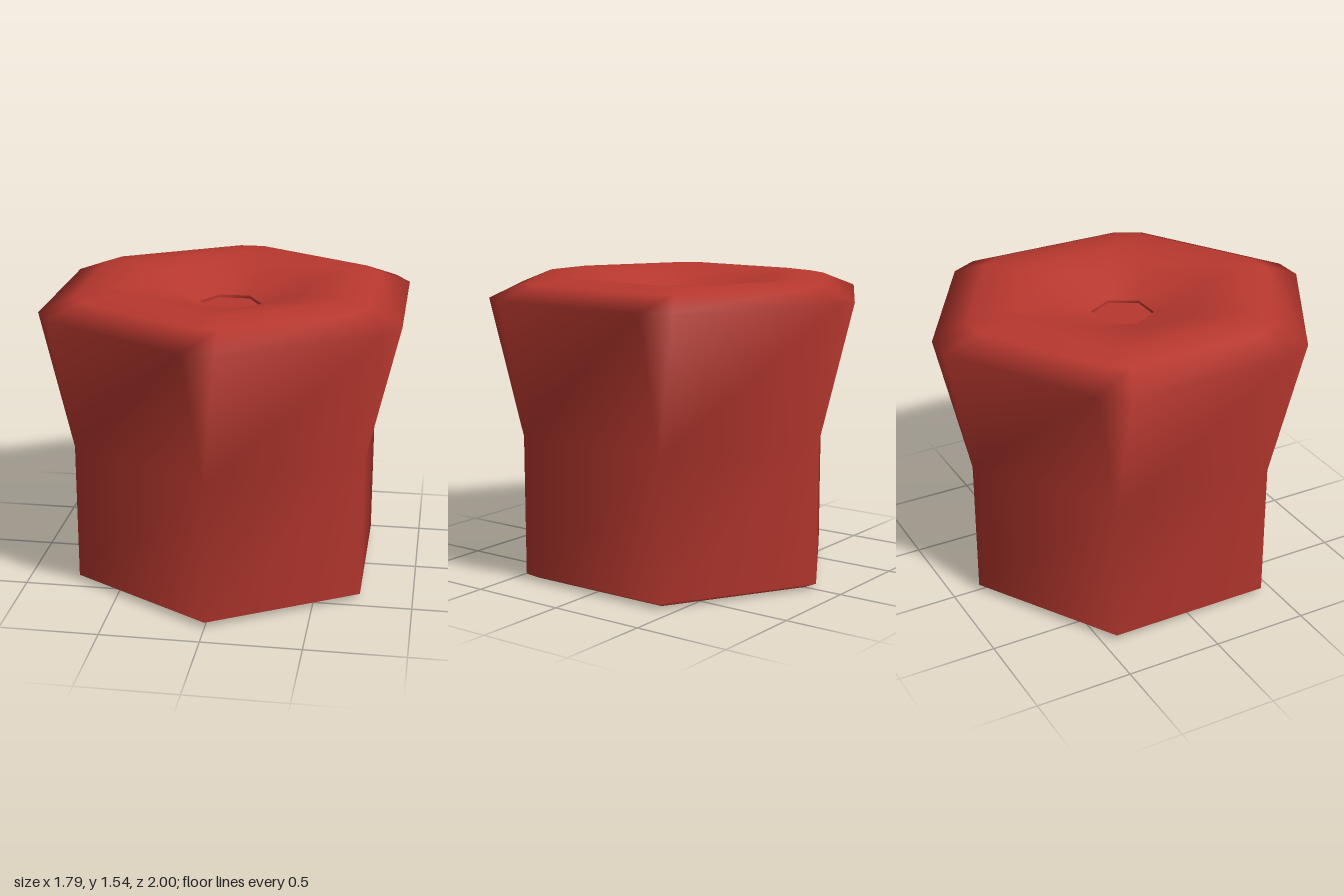
import * as THREE from 'three';
import { mergeVertices } from 'three/addons/utils/BufferGeometryUtils.js';

const WIDTH = 0.986; // the hexagon is slightly narrower across x

// Hexagonal ring with corners on the z axis, each corner split by +-d degrees.
function ring(y, r, d) {
  const pts = [];
  for (let k = 0; k < 6; k++) {
    for (const s of [-1, 1]) {
      const a = THREE.MathUtils.degToRad(30 + 60 * k + s * d);
      pts.push(WIDTH * r * Math.cos(a), y, r * Math.sin(a));
    }
  }
  return pts;
}

// Skin a stack of [y, radius, cornerSplit] rings into one smooth surface.
function skin(rings) {
  const n = 12, index = [];
  const positions = rings.flatMap(([y, r, d]) => ring(y, r, d));
  for (let j = 0; j < rings.length - 1; j++) {
    for (let i = 0; i < n; i++) {
      const a = j * n + i, b = j * n + (i + 1) % n;
      index.push(a, a + n, b, b, a + n, b + n);
    }
  }
  let g = new THREE.BufferGeometry();
  g.setAttribute('position', new THREE.Float32BufferAttribute(positions, 3));
  g.setIndex(index);
  g = mergeVertices(g, 1e-4);
  g.computeVertexNormals();
  return g;
}

export function createModel() {
  const group = new THREE.Group();
  const red = new THREE.MeshStandardMaterial({ color: 0xb8382f });
  red.name = 'red';

  const add = (name, rings) => {
    const mesh = new THREE.Mesh(skin(rings), red);
    mesh.name = name;
    group.add(mesh);
  };

  // Straight hexagonal base, flared chamfered top and dished crown
  add('outerShell', [
    [0, 0.79, 0],
    [0.03, 0.858, 0],
    [0.75, 0.858, 0],
    [1.45, 1.003, 4.6],
    [1.52, 0.82, 4.6],
    [1.54, 0.67, 4.6],
    [1.535, 0.56, 6],
    [1.51, 0.42, 12],
    [1.42, 0.16, 30],
  ]);

  // Shallow well in the middle of the dish
  add('wellWall', [
    [1.42, 0.16, 30],
    [1.405, 0.16, 30],
  ]);
  add('wellFloor', [
    [1.405, 0.16, 30],
    [1.405, 0, 30],
  ]);

  // Hollow underside, following the outer shell at an even thickness
  add('cavityCeiling', [
    [1.36, 0, 30],
    [1.36, 0.16, 30],
    [1.445, 0.42, 12],
    [1.475, 0.65, 4.6],
    [1.41, 0.93, 4.6],
  ]);
  add('cavityWall', [
    [1.41, 0.93, 4.6],
    [0.76, 0.79, 0],
    [0, 0.79, 0],
  ]);

  return group;
}
